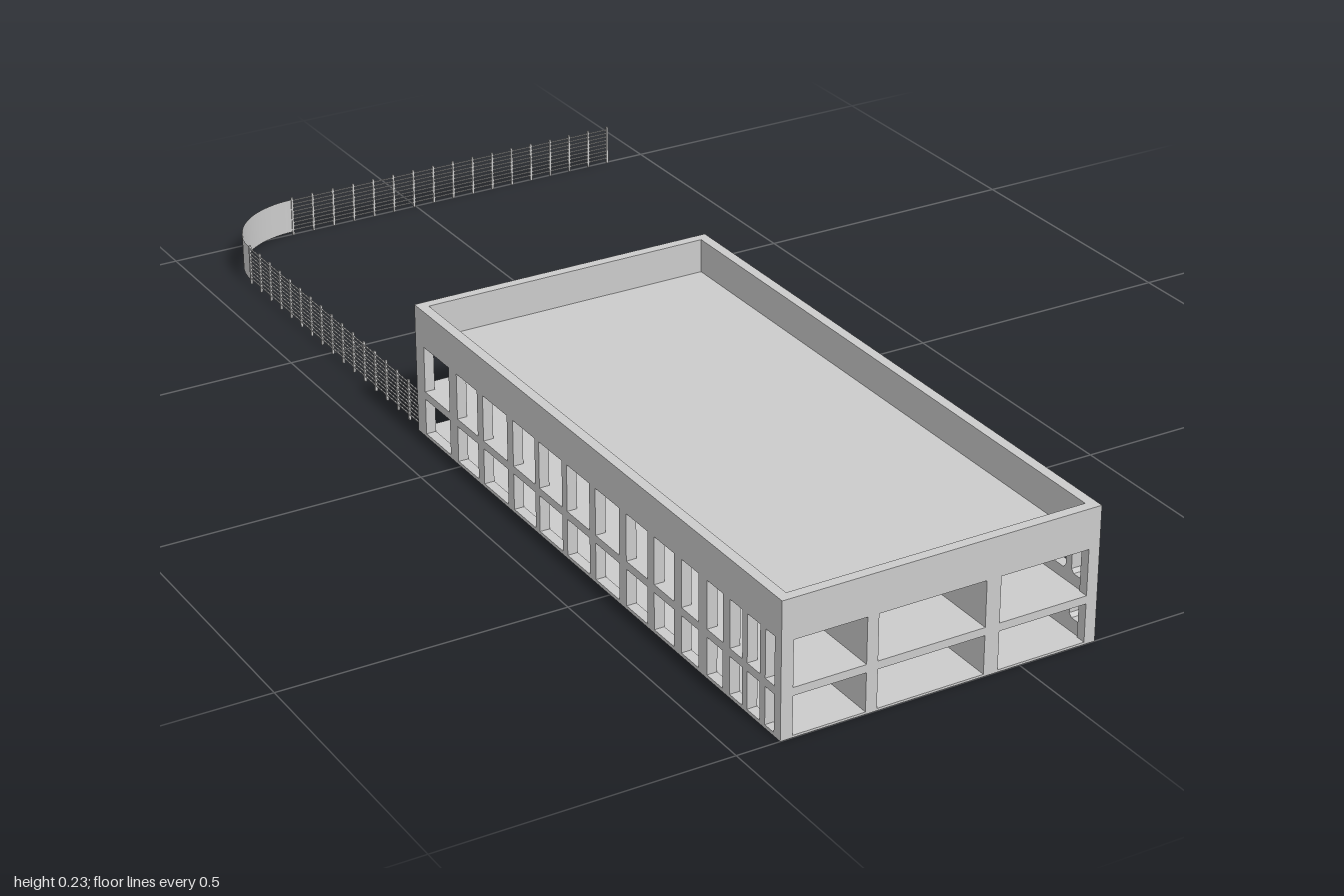
import * as THREE from 'three';

const grey = new THREE.MeshStandardMaterial({ color: 0xcccccc, flatShading: true });
const sheet = new THREE.MeshStandardMaterial({ color: 0xcccccc, side: THREE.DoubleSide });

// Building extents and levels
const X0 = -0.425, X1 = 0.14, Z0 = -0.155, Z1 = 1, H = 0.235, T = 0.018;
const FENCE_X = -0.42, FENCE_Z = -0.998, BEND = 0.16;

function box(parent, name, x0, x1, y0, y1, z0, z1) {
  const m = new THREE.Mesh(new THREE.BoxGeometry(x1 - x0, y1 - y0, z1 - z0), grey);
  m.position.set((x0 + x1) / 2, (y0 + y1) / 2, (z0 + z1) / 2);
  m.name = name;
  parent.add(m);
  return m;
}

// Opening with small cut corners
function opening(a, b, c, d, r) {
  const p = r > 0
    ? [[a + r, c], [b - r, c], [b, c + r], [b, d - r], [b - r, d], [a + r, d], [a, d - r], [a, c + r]]
    : [[a, c], [b, c], [b, d], [a, d]];
  return new THREE.Path(p.map(([x, y]) => new THREE.Vector2(x, y)));
}

// Wall panel pierced by a grid of columns x rows
function piercedWall(a, b, columns, rows, r) {
  const s = new THREE.Shape([[a, 0], [b, 0], [b, H], [a, H]].map(([x, y]) => new THREE.Vector2(x, y)));
  for (const [c0, c1] of columns) for (const [r0, r1] of rows) s.holes.push(opening(c0, c1, r0, r1, r));
  return new THREE.ExtrudeGeometry(s, { depth: T, bevelEnabled: false });
}

function createBuilding() {
  const g = new THREE.Group();
  g.name = 'building';

  // Front and back: three bays on two floors
  const bays = [[-0.404, -0.277], [-0.257, -0.066], [-0.04, 0.12]];
  const endWall = piercedWall(X0, X1, bays, [[0.004, 0.071], [0.085, 0.165]], 0);
  for (const [name, z] of [['frontWall', Z1 - T], ['backWall', Z0]]) {
    const m = new THREE.Mesh(endWall, grey);
    m.name = name;
    m.position.z = z;
    g.add(m);
  }

  // Long sides: windows that widen towards the back
  const windows = [
    [0.957, 0.99], [0.907, 0.942], [0.858, 0.893], [0.793, 0.838], [0.718, 0.768],
    [0.637, 0.696], [0.552, 0.617], [0.456, 0.53], [0.365, 0.437], [0.274, 0.349],
    [0.187, 0.26], [0.084, 0.167], [-0.008, 0.064], [-0.125, -0.036],
  ];
  const sides = [
    ['leftWall', X1, [[0.028, 0.07], [0.105, 0.17]], 0.006],
    ['rightWall', X0 + T, [[0.006, 0.071], [0.085, 0.168]], 0],
  ];
  for (const [name, x, rows, r] of sides) {
    const geo = piercedWall(Z0 + 0.001, Z1 - 0.001, windows, rows, r);
    geo.rotateY(-Math.PI / 2);
    const m = new THREE.Mesh(geo, grey);
    m.name = name;
    m.position.x = x;
    g.add(m);
  }

  // Slabs and lengthwise partitions
  const e = T - 0.002;
  box(g, 'groundFloor', X0 + e, X1 - e, 0, 0.004, Z0 + e, Z1 - e);
  box(g, 'upperFloor', X0 + e, X1 - e, 0.071, 0.085, Z0 + e, Z1 - e);
  box(g, 'roof', X0 + e, X1 - e, 0.166, 0.174, Z0 + e, Z1 - e);
  for (const [a, b] of [[-0.277, -0.257], [-0.066, -0.04]]) {
    box(g, 'lowerPartition', a, b, 0.004, 0.071, Z0 + T, Z1 - T);
    box(g, 'upperPartition', a, b, 0.085, 0.166, Z0 + T, Z1 - T);
  }
  return g;
}

// Straight fence along local +x
function createFenceRun(name, length) {
  const g = new THREE.Group();
  g.name = name;
  const count = 16, w = 0.004;
  for (let i = 0; i <= count; i++) {
    const x = (i * length) / count;
    box(g, 'post', x - w / 2, x + w / 2, 0, 0.076, -w / 2, w / 2);
  }
  for (let i = 0; i < 9; i++) {
    const y = 0.01 + i * 0.0075;
    box(g, 'rail', 0, length, y - 0.001, y + 0.001, -0.001, 0.001);
  }
  return g;
}

function createFence() {
  const g = new THREE.Group();
  g.name = 'fence';
  const bendZ = FENCE_Z + BEND, bendX = FENCE_X + BEND;

  const side = createFenceRun('sideFence', Z0 - bendZ);
  side.rotation.y = Math.PI / 2;
  side.position.set(FENCE_X, 0, Z0);
  const back = createFenceRun('backFence', 0.422 - bendX);
  back.position.set(bendX, 0, FENCE_Z);

  // Solid quarter-round panel joining the two runs
  const bend = new THREE.Mesh(
    new THREE.CylinderGeometry(BEND, BEND, 0.066, 20, 1, true, Math.PI, Math.PI / 2), sheet);
  bend.name = 'curvedPanel';
  bend.position.set(bendX, 0.039, bendZ);
  g.add(side, back, bend);
  return g;
}

export function createModel() {
  const model = new THREE.Group();
  model.name = 'buildingWithFence';
  model.add(createBuilding(), createFence());
  return model;
}
